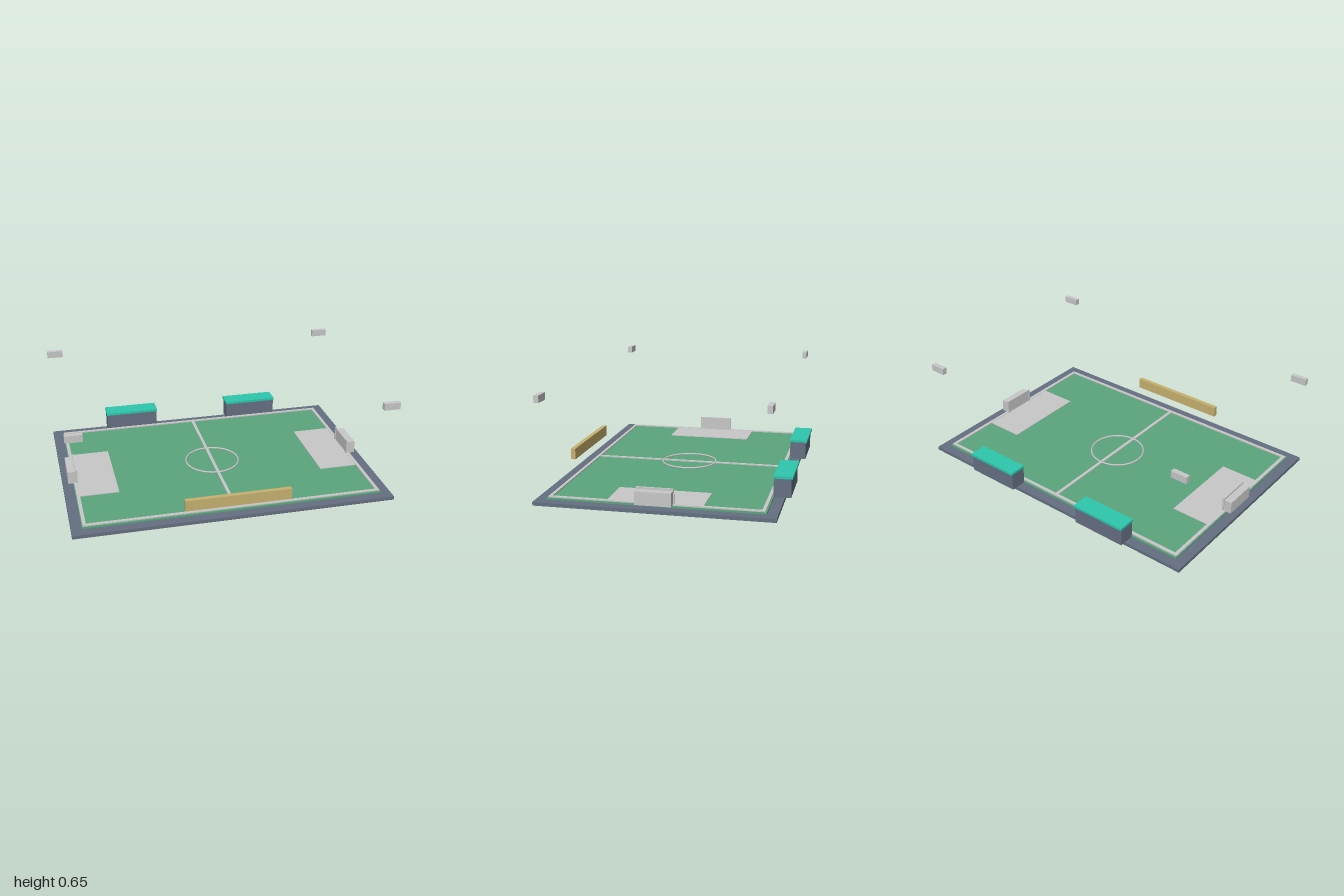
import * as THREE from 'three';

export function createModel() {
  const root = new THREE.Group();
  root.name = 'footballPitch';

  const material = (name, color) => {
    const m = new THREE.MeshStandardMaterial({ color });
    m.name = name;
    return m;
  };
  const slate = material('slate', 0x667082);
  const grass = material('grassGreen', 0x5ba67d);
  const grey = material('lightGrey', 0xc8c8c9);
  const teal = material('teal', 0x2dc7ad);
  const gold = material('gold', 0xc8b270);

  // Box given by its limits along each axis
  const box = (name, mat, [x0, x1], [y0, y1], [z0, z1], parent = root) => {
    const mesh = new THREE.Mesh(new THREE.BoxGeometry(x1 - x0, y1 - y0, z1 - z0), mat);
    mesh.position.set((x0 + x1) / 2, (y0 + y1) / 2, (z0 + z1) / 2);
    mesh.name = name;
    parent.add(mesh);
    return mesh;
  };
  // Limits mirrored to the given side
  const side = (s, a, b) => (s > 0 ? [a, b] : [-b, -a]);
  const zMid = 0.022;
  const around = (half, c = zMid) => [c - half, c + half];

  // Ground slab and turf
  box('groundSlab', slate, [-1, 1], [0, 0.022], around(0.708));
  box('turf', grass, [-0.935, 0.935], [0.022, 0.033], around(0.645));

  // Pitch markings
  const lineY = [0.033, 0.04];
  box('halfwayLine', grey, [-0.01, 0.01], lineY, around(0.635));
  for (const s of [-1, 1]) {
    box('touchLine', grey, [-0.93, 0.93], lineY, around(0.01, zMid + s * 0.626));
    box('goalLine', grey, side(s, 0.909, 0.93), lineY, around(0.616));
    box('penaltyArea', grey, side(s, 0.663, 0.92), [0.033, 0.038], around(0.283));
  }
  const circle = new THREE.Mesh(new THREE.TorusGeometry(0.175, 0.006, 6, 32), grey);
  circle.name = 'centreCircle';
  circle.rotation.x = Math.PI / 2;
  circle.position.set(0, 0.038, zMid);
  root.add(circle);

  for (const s of [-1, 1]) {
    // Goal: net box behind a slim frame
    const goal = new THREE.Group();
    goal.name = s > 0 ? 'leftGoal' : 'rightGoal';
    root.add(goal);
    box('net', grey, side(s, 0.91, 0.966), [0.035, 0.116], around(0.107), goal);
    const frameX = side(s, 0.905, 0.917);
    for (const t of [-1, 1]) {
      box('post', grey, frameX, [0.035, 0.128], around(0.006, zMid + t * 0.106), goal);
    }
    box('crossbar', grey, frameX, [0.115, 0.128], around(0.112), goal);

    // Dugout with a flat overhanging roof
    const dugout = new THREE.Group();
    dugout.name = s > 0 ? 'leftDugout' : 'rightDugout';
    root.add(dugout);
    box('dugoutBody', slate, side(s, 0.261, 0.613), [0.022, 0.136], [-0.722, -0.618], dugout);
    box('dugoutRoof', teal, side(s, 0.257, 0.617), [0.136, 0.152], [-0.731, -0.615], dugout);

    // Floodlight heads over the corners
    for (const z of [-0.639, 0.683]) {
      box('floodlight', grey, side(s, 0.897, 1), [0.607, 0.65], around(0.015, z));
    }
  }

  // Raised board along the front edge
  box('frontBoard', gold, [-0.329, 0.329], [0.096, 0.166], [0.702, 0.731]);

  return root;
}
